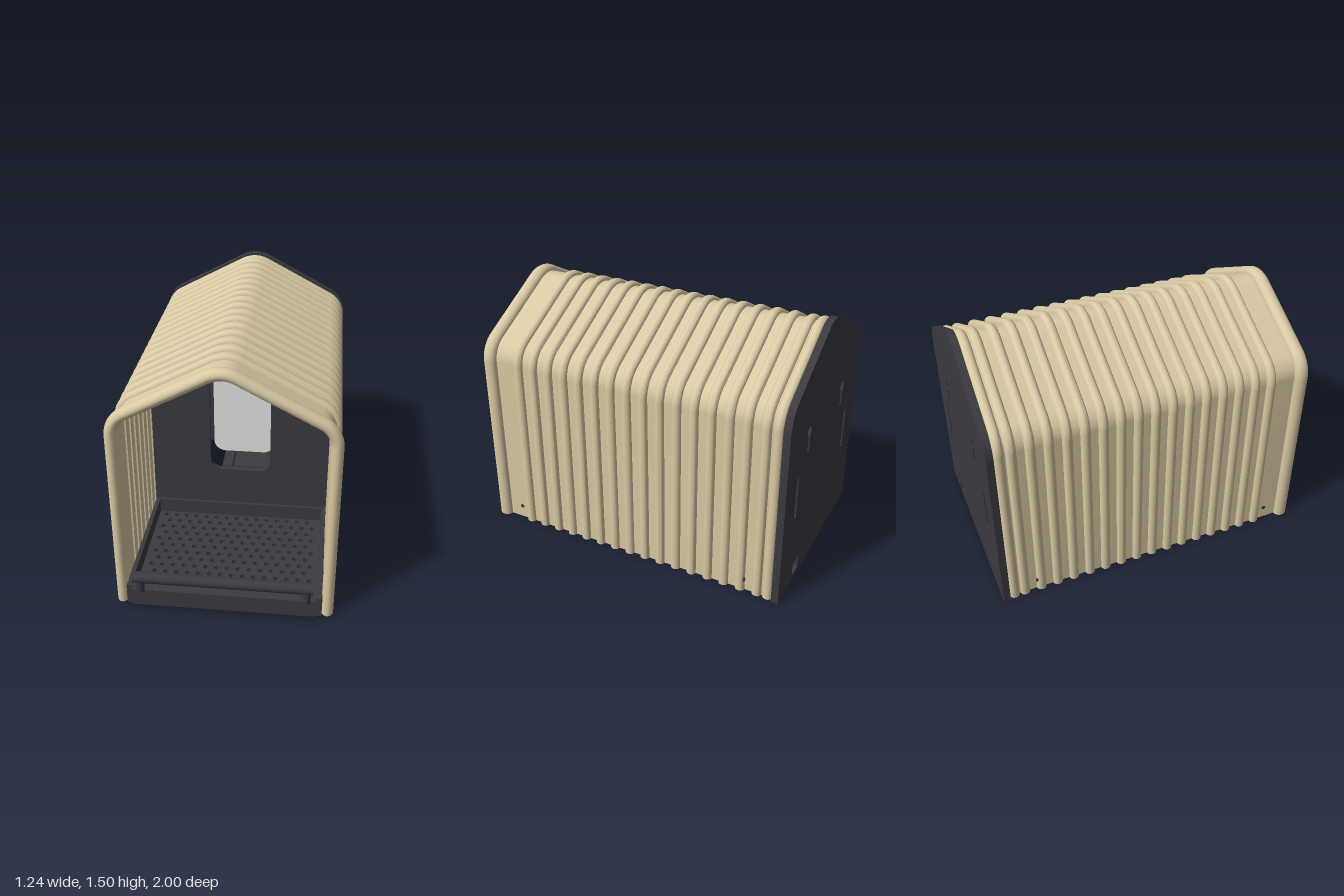
import * as THREE from 'three';
import { toCreasedNormals } from 'three/addons/utils/BufferGeometryUtils.js';

const tan = new THREE.MeshStandardMaterial({ color: 0xd9c9a4, side: THREE.DoubleSide });
tan.name = 'sand plastic';
const dark = new THREE.MeshStandardMaterial({ color: 0x3b3a40 });
dark.name = 'charcoal plastic';
const grey = new THREE.MeshStandardMaterial({ color: 0xe6e6e4 });
grey.name = 'light grey plastic';

const W = 0.62, SLOPE = 0.53, APEX = 1.523;
const ROOF = Math.atan(SLOPE);

// Gabled outline with rounded corners, inset by d, from right foot to left foot
function profile(d) {
  const pts = [new THREE.Vector2(W - d, 0)];
  const normal = Math.PI / 2 - ROOF;
  const shoulderY = APEX - SLOPE * W - 0.18 * Math.tan(normal / 2);
  const arc = (cx, cy, r, a0, a1) => {
    for (let i = 0; i <= 10; i++) {
      const a = a0 + (a1 - a0) * i / 10;
      pts.push(new THREE.Vector2(cx + r * Math.cos(a), cy + r * Math.sin(a)));
    }
  };
  arc(W - 0.18, shoulderY, 0.18 - d, 0, normal);
  arc(0, APEX - 0.2 / Math.cos(ROOF), 0.2 - d, normal, Math.PI - normal);
  arc(-W + 0.18, shoulderY, 0.18 - d, Math.PI - normal, Math.PI);
  pts.push(new THREE.Vector2(-W + d, 0));
  return pts;
}

// Sweeps a closed section of [inset, z] points along the outline and caps the feet
function sweep(section) {
  const rings = section.map(([d]) => profile(d));
  const n = rings[0].length, m = section.length;
  const pos = [], index = [];
  section.forEach(([, z], j) => rings[j].forEach(p => pos.push(p.x, p.y, z)));
  for (let j = 0; j < m; j++) {
    const k = (j + 1) % m;
    for (let i = 0; i < n - 1; i++) {
      const a = j * n + i, b = k * n + i;
      index.push(a, a + 1, b, b, a + 1, b + 1);
    }
  }
  const flat = section.map(([d, z]) => new THREE.Vector2(d, z));
  THREE.ShapeUtils.triangulateShape(flat, []).forEach(([a, b, c]) => {
    index.push(a * n, c * n, b * n, a * n + n - 1, b * n + n - 1, c * n + n - 1);
  });
  const g = new THREE.BufferGeometry();
  g.setAttribute('position', new THREE.Float32BufferAttribute(pos, 3));
  g.setIndex(index);
  return toCreasedNormals(g, 0.75);
}

function roundedRect(path, x0, y0, x1, y1, r) {
  path.moveTo(x0 + r, y0);
  path.lineTo(x1 - r, y0).absarc(x1 - r, y0 + r, r, -Math.PI / 2, 0);
  path.lineTo(x1, y1 - r).absarc(x1 - r, y1 - r, r, 0, Math.PI / 2);
  path.lineTo(x0 + r, y1).absarc(x0 + r, y1 - r, r, Math.PI / 2, Math.PI);
  path.lineTo(x0, y0 + r).absarc(x0 + r, y0 + r, r, Math.PI, Math.PI * 1.5);
  return path;
}

function rectHole(x, y, w, h) {
  return new THREE.Path([[-1, 0], [1, 0], [1, 1], [-1, 1]].map(
    ([sx, sy]) => new THREE.Vector2(x + sx * w / 2, y + sy * h)));
}

// Round hole with a narrow slot below it
function keyhole(x, y) {
  const p = new THREE.Path();
  p.moveTo(x - 0.015, y - 0.125);
  p.lineTo(x + 0.015, y - 0.125);
  p.absarc(x, y, 0.035, -1.13, Math.PI + 1.13);
  p.closePath();
  return p;
}

export function createModel() {
  const model = new THREE.Group();
  const add = (name, geometry, material, x = 0, y = 0, z = 0) => {
    const mesh = new THREE.Mesh(geometry, material);
    mesh.name = name;
    mesh.position.set(x, y, z);
    model.add(mesh);
    return mesh;
  };
  const box = (name, w, h, d, x, y, z) => add(name, new THREE.BoxGeometry(w, h, d), dark, x, y, z);
  const slab = (name, shape, depth, material, z) => add(name, toCreasedNormals(
    new THREE.ExtrudeGeometry(shape, { depth, bevelEnabled: false, curveSegments: 10 }), 0.6), material, 0, 0, z);

  // Ribbed shell: half-round ribs outside, hollow grooves behind them inside
  const ribs = [-0.925];
  for (let i = 15; i >= 0; i--) ribs.push(0.685 - i * 0.103);
  const section = [[0.062, -0.96], [0.036, -0.96]];
  for (const z of ribs) {
    for (let i = 0; i <= 10; i++) {
      const a = Math.PI * i / 10;
      section.push([0.036 - 0.026 * Math.sin(a), z - 0.029 * Math.cos(a)]);
    }
  }
  section.push([0.036, 0.9], [0.062, 0.9]);
  for (const z of ribs.reverse()) {
    for (let i = 0; i <= 6; i++) {
      const a = Math.PI * i / 6;
      section.push([0.062 - 0.03 * Math.sin(a), z + 0.018 * Math.cos(a)]);
    }
  }
  add('ribbedShell', sweep(section), tan);

  // Thick rounded rim around the entrance
  const rim = [];
  for (let i = 0; i < 16; i++) {
    const a = Math.PI * 2 * i / 16;
    rim.push([0.034 - 0.034 * Math.sin(a), 0.8825 - 0.0425 * Math.cos(a)]);
  }
  add('entranceRim', sweep(rim), tan);

  // Back plate with hanging keyholes, strap slots and cable hole
  const back = new THREE.Shape(profile(0.004));
  for (const s of [-1, 1]) back.holes.push(keyhole(s * 0.295, 0.955), rectHole(s * 0.43, 0.47, 0.034, 0.26));
  back.holes.push(rectHole(0.345, 0.035, 0.095, 0.08));
  slab('backPlate', back, 0.042, dark, -1);

  // Inner partition with window
  const wall = new THREE.Shape(profile(0.063));
  wall.holes.push(roundedRect(new THREE.Path(), -0.19, 0.375, 0.19, 1.02, 0.07));
  slab('partition', wall, 0.035, dark, 0.005);

  // Device behind the window, with its round lens
  slab('deviceBody', roundedRect(new THREE.Shape(), -0.2, 0.365, 0.2, 1.03, 0.075), 0.16, grey, -0.37);
  const lens = add('deviceLens', new THREE.CylinderGeometry(0.076, 0.076, 0.008, 32), grey, 0, 0.837, -0.208);
  lens.rotation.x = Math.PI / 2;

  // Lower fittings of the rear compartment
  box('rearShelf', 0.38, 0.02, 0.36, 0, 0.04, -0.7);
  const rod = add('rearRod', new THREE.CylinderGeometry(0.016, 0.016, 0.53, 12), dark, -0.11, 0.13, -0.41);
  rod.rotation.x = Math.PI / 2;

  // Tray: perforated floor and low walls
  const floor = new THREE.Shape([[-0.55, -0.91], [0.55, -0.91], [0.55, -0.02], [-0.55, -0.02]].map(
    ([x, y]) => new THREE.Vector2(x, y)));
  for (let r = 0; r < 13; r++) {
    for (let c = 0; c < 15; c++) {
      const hole = new THREE.Path();
      hole.absarc((c - 7) * 0.066 + (r % 2 ? 0.016 : -0.016), -0.86 + r * 0.064, 0.017, 0, Math.PI * 2);
      floor.holes.push(hole);
    }
  }
  const sheet = add('perforatedFloor', new THREE.ExtrudeGeometry(floor,
    { depth: 0.032, bevelEnabled: false, curveSegments: 4 }), dark, 0, 0, 0);
  sheet.rotation.x = -Math.PI / 2;
  box('trayFront', 1.11, 0.125, 0.025, 0, 0.0625, 0.914);
  box('trayBack', 1.1, 0.125, 0.025, 0, 0.0625, 0.045);
  box('frontLedge', 1.03, 0.105, 0.05, 0, 0.0875, 0.95);

  // Perch bar
  const bar = add('perchBar', new THREE.CylinderGeometry(0.032, 0.032, 1, 24), dark, 0, 0.225, 0.968);
  bar.rotation.z = Math.PI / 2;

  // Mirrored parts
  for (const s of [-1, 1]) {
    box('traySide', 0.025, 0.125, 0.88, s * 0.542, 0.0625, 0.47);
    box('rearRail', 0.03, 0.05, 0.96, s * 0.543, 0.027, -0.478);
    add('perchPost', new THREE.CylinderGeometry(0.025, 0.025, 0.08, 16), dark, s * 0.465, 0.172, 0.97);
    for (const [z, x] of [[0.755, 0.582], [-0.78, 0.596]]) {
      const screw = add('sideScrew', new THREE.CylinderGeometry(0.013, 0.013, 0.009, 12), dark, s * x, 0.08, z);
      screw.rotation.z = Math.PI / 2;
    }
  }
  return model;
}
